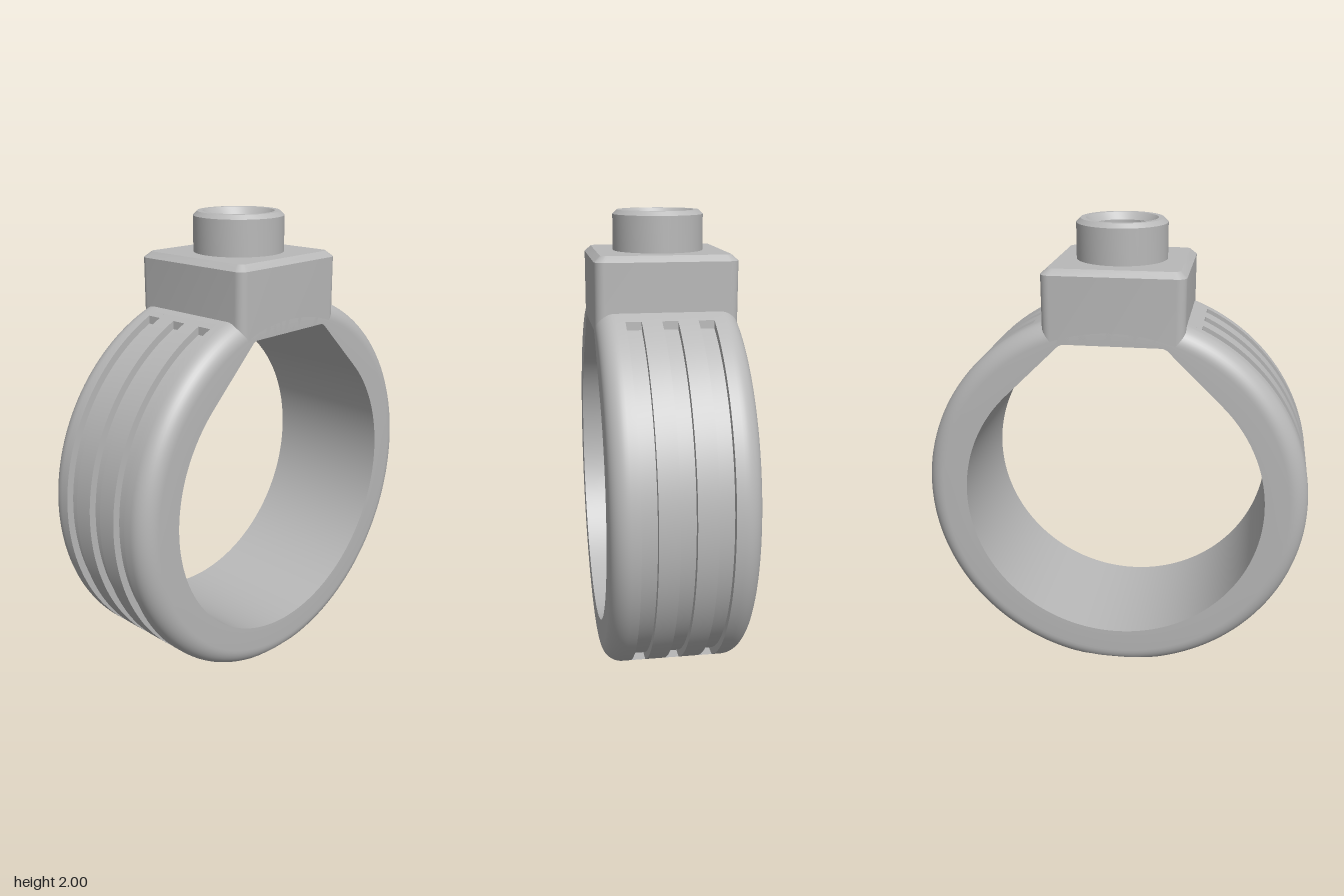
import * as THREE from 'three';
import { toCreasedNormals } from 'three/addons/utils/BufferGeometryUtils.js';

const CY = 0.81, R = 0.845, HOLE = 0.66, HALF = 0.3, FILLET = 0.08, GROOVE = 0.03;
const RAD = Math.PI / 180, CREASE = 0.25;

// Skin closed loops of points [x, y, z], ordered counter-clockwise along the sweep
function loft(sections) {
  const n = sections[0].length, index = [];
  for (let k = 0; k < sections.length - 1; k++) {
    for (let i = 0; i < n; i++) {
      const j = (i + 1) % n, a = k * n + i, b = k * n + j, c = b + n, d = a + n;
      index.push(a, b, c, a, c, d);
    }
  }
  const geo = new THREE.BufferGeometry();
  geo.setAttribute('position', new THREE.Float32BufferAttribute(sections.flat(2), 3));
  geo.setIndex(index);
  return toCreasedNormals(geo, CREASE);
}

// Outer radius at an angle, cut by the flat foot
const outer = (a, r) => (Math.sin(a) < 0 ? Math.min(r, -CY / Math.sin(a)) : r);

// Finger hole: a circle with straight tangents rising to a flat top
function inner(a) {
  const up = Math.atan2(Math.sin(a), Math.abs(Math.cos(a))), t = 45.5 * RAD;
  return up < t ? HOLE : Math.min(HOLE / Math.cos(up - t), 0.71 / Math.sin(up));
}

const loop = (radius, z) => Array.from({ length: 240 }, (_, i) => {
  const a = i * 1.5 * RAD, r = radius(a);
  return [r * Math.cos(a), CY + r * Math.sin(a), z];
});

// Rounded shoulders, side faces and the inside of the band
function bandGeometry(edge) {
  const half = [[R - 0.07, edge], [R, edge]];
  for (let i = 0; i <= 10; i++) {
    const f = i * 9 * RAD;
    half.push([R - FILLET * (1 - Math.cos(f)), HALF - FILLET * (1 - Math.sin(f))]);
  }
  const front = half.map(([r, z]) => loop(a => outer(a, r), z));
  const back = half.map(([r, z]) => loop(a => outer(a, r), -z)).reverse();
  return loft([...front, loop(inner, HALF), loop(inner, -HALF), ...back]);
}

// One slice of the middle of the band, with or without the side grooves
function sliceGeometry(z0, z1, grooved) {
  const pts = [];
  const arc = (from, to, r) => {
    const n = Math.ceil((to - from) / 1.5);
    for (let i = 0; i <= n; i++) {
      const a = (from + (to - from) * i / n) * RAD, q = outer(a, r);
      pts.push(new THREE.Vector2(q * Math.cos(a), CY + q * Math.sin(a)));
    }
  };
  if (grooved) {
    arc(-63.7, 63.7, R - GROOVE);
    arc(64.8, 115.2, R);
    arc(116.3, 243.7, R - GROOVE);
    arc(239.8, 300.2, R);
  } else {
    arc(0, 358.5, R);
  }
  const shape = new THREE.Shape(pts);
  shape.holes.push(new THREE.Path(loop(a => inner(a) * 1.02, 0).map(p => new THREE.Vector2(p[0], p[1]))));
  const geo = new THREE.ExtrudeGeometry(shape, { depth: z1 - z0, bevelEnabled: false });
  geo.translate(0, 0, z0);
  return toCreasedNormals(geo, CREASE);
}

function roundedSquare(h, r, z) {
  const pts = [];
  for (let c = 0; c < 4; c++) {
    for (let i = 0; i <= 8; i++) {
      const a = (c * 90 + i * 11.25) * RAD, m = (c * 90 + 45) * RAD;
      pts.push([
        Math.sign(Math.cos(m)) * (h - r) + r * Math.cos(a),
        Math.sign(Math.sin(m)) * (h - r) + r * Math.sin(a), z]);
    }
  }
  return pts;
}

// Square head with rounded corners and a chamfered top
function headGeometry() {
  const geo = loft([
    roundedSquare(0, 0, 1.52), roundedSquare(0.3, 0.04, 1.52),
    roundedSquare(0.3, 0.04, 1.805), roundedSquare(0.273, 0.03, 1.83),
    roundedSquare(0, 0, 1.83)]);
  return geo.rotateX(-Math.PI / 2);
}

// Hollow collar with chamfered rim
function collarGeometry() {
  const profile = [[0.195, 1.82], [0.195, 1.982], [0.177, 2], [0.153, 2], [0.13, 1.97], [0.13, 1.835], [0, 1.835]];
  const geo = new THREE.LatheGeometry(profile.map(([x, y]) => new THREE.Vector2(x, y)), 64);
  return toCreasedNormals(geo, CREASE);
}

export function createModel() {
  const model = new THREE.Group();
  model.name = 'ring';
  const metal = new THREE.MeshStandardMaterial({ color: 0xb8b8b8 });
  metal.name = 'grey metal';

  const add = (name, geometry) => {
    const mesh = new THREE.Mesh(geometry, metal);
    mesh.name = name;
    model.add(mesh);
  };

  // Band: shoulders plus alternating grooved and plain slices
  const cuts = [-0.183, -0.117, -0.033, 0.033, 0.117, 0.183];
  add('band', bandGeometry(cuts[5]));
  for (let i = 0; i < 5; i++) {
    const grooved = i % 2 === 0;
    add(grooved ? 'grooveSlice' : 'ridgeSlice', sliceGeometry(cuts[i], cuts[i + 1], grooved));
  }

  add('head', headGeometry());
  add('collar', collarGeometry());
  return model;
}
